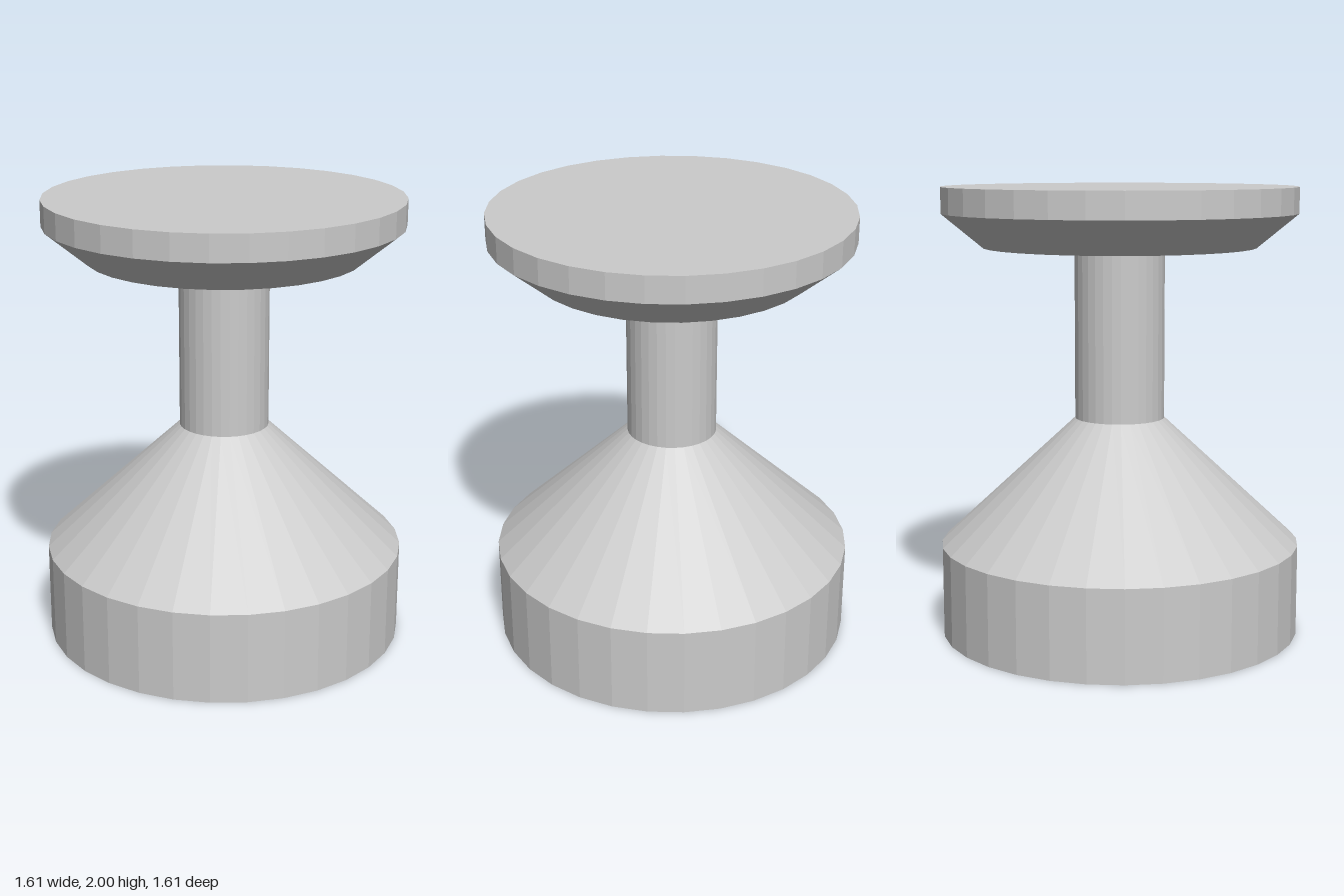
import * as THREE from 'three';

const SIDES = 32;

// Turned part from [radius, height] points listed bottom to top
function turned(name, profile, material) {
  const points = profile.map(([r, y]) => new THREE.Vector2(r, y));
  const mesh = new THREE.Mesh(new THREE.LatheGeometry(points, SIDES), material);
  mesh.name = name;
  return mesh;
}

export function createModel() {
  const model = new THREE.Group();
  model.name = 'turnedKnob';
  const material = new THREE.MeshStandardMaterial({ color: 0xcccccc, flatShading: true });

  model.add(
    // Straight-sided foot with its flat underside
    turned('base', [[0, 0], [0.807, 0], [0.807, 0.407]], material),
    // Cone narrowing from the foot to the stem
    turned('shoulder', [[0.807, 0.407], [0.2, 0.972]], material),
    // Slim column
    turned('stem', [[0.2, 0.972], [0.2, 1.714]], material),
    // Flared head: shallow underside, bevel, rim and flat top
    turned('head', [[0.2, 1.714], [0.605, 1.735], [0.787, 1.885], [0.787, 2], [0, 2]], material),
  );
  return model;
}
